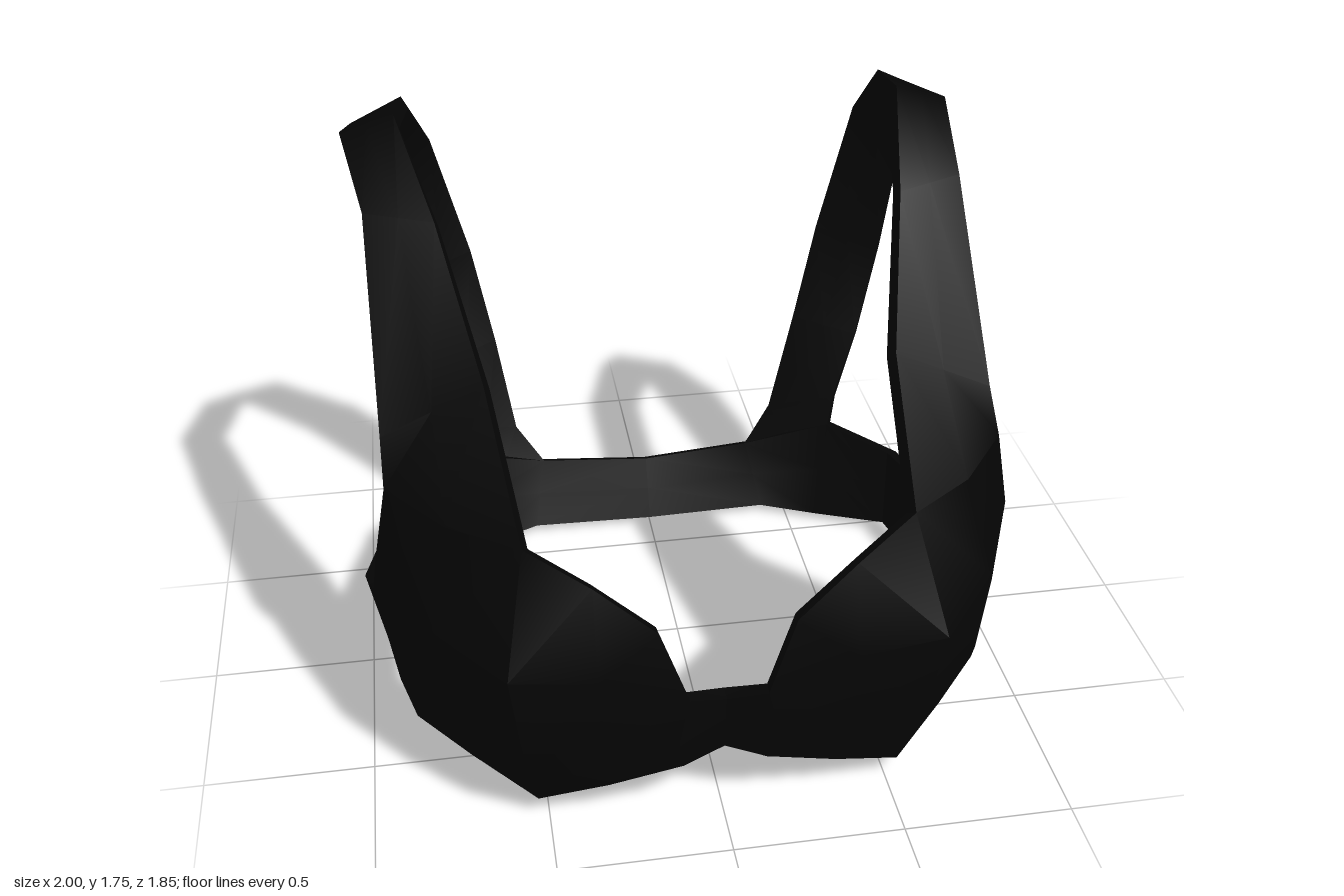
import * as THREE from 'three';
import { toCreasedNormals } from 'three/addons/utils/BufferGeometryUtils.js';

const THICKNESS = 0.045;

// Average of two points
const mid = (a, b) => a.map((v, i) => (v + b[i]) / 2);

// Sheets for one side (+x); each is a grid of points on the outer surface
function makeSheets(side) {
  // cup: rows upward, columns from armhole to centre
  const cup = [
    [[0.86, 0.14, 0.45], [0.71, 0.11, 0.61], [0.53, 0.075, 0.785], [0.33, 0.14, 0.83], [0.12, 0.21, 0.86]],
    [[0.91, 0.41, 0.42], [0.78, 0.37, 0.67], [0.57, 0.34, 0.88], [0.34, 0.33, 0.9], [0.14, 0.34, 0.905]],
    [[0.935, 0.68, 0.39], [0.79, 0.65, 0.7], [0.6, 0.63, 0.925], [0.36, 0.58, 0.905], [0.11, 0.48, 0.9]],
    [[0.89, 0.92, 0.39], [0.73, 0.92, 0.6], [0.535, 0.93, 0.75], [0.36, 0.84, 0.83], [0.19, 0.7, 0.87]],
  ];

  // bridge joining the two cups
  const bridge = [
    [cup[0][4], [0, 0.25, 0.84]],
    [cup[1][4], [0, 0.34, 0.85]],
    [cup[2][4], [0, 0.44, 0.86]],
  ];

  // band: columns from back centre round to the cup, as bottom and top points
  const columns = [
    [[0, 0.003, -0.67], [0, 0.2, -0.76]],
    [[0.42, 0.01, -0.675], [0.38, 0.22, -0.775]],
    [[0.62, 0.015, -0.585], [0.67, 0.34, -0.67]],
    [[0.86, 0.028, -0.46], [0.88, 0.28, -0.53]],
    [[0.94, 0.05, 0], [1, 0.3, -0.06]],
    [[0.91, 0.095, 0.22], [0.96, 0.46, 0.23]],
  ].map(([b, t]) => [b, mid(b, t), t]);
  columns.push([cup[0][0], cup[1][0], cup[2][0]]);
  const band = [0, 1, 2].map((r) => columns.map((c) => c[r]));

  // strap: outer edge, inner edge, sideways shift that gives a slight twist
  const stations = [
    [[0.865, 1.09, 0.39], [0.575, 1.23, 0.4], -0.02],
    [[0.855, 1.59, 0.02], [0.66, 1.58, 0.09], -0.03],
    [[0.905, 1.705, -0.3], [0.745, 1.755, -0.28], -0.035],
    [[0.92, 1.6, -0.64], [0.76, 1.67, -0.66], 0],
    [[0.89, 1.37, -0.82], [0.72, 1.47, -0.86], 0.02],
    [[0.83, 0.97, -0.84], [0.62, 1.02, -0.92], 0.03],
    [[0.755, 0.65, -0.77], [0.55, 0.69, -0.865], 0.02],
    [[0.69, 0.43, -0.7], [0.48, 0.36, -0.8], 0],
    [columns[2][2], columns[1][2], 0],
  ];
  const strap = [cup[3].slice(0, 3)];
  for (const [o, i, shift] of stations) {
    strap.push([o, mid(o, i), i].map(([x, y, z]) => [x + side * shift, y, z]));
  }
  return { cup, bridge, band, strap };
}

const key = (p) => p.map((v) => v.toFixed(4)).join();

// Calls fn with the four corners of each grid cell, outward side counter-clockwise
function eachCell(grid, fn) {
  for (let r = 0; r < grid.length - 1; r++) {
    for (let c = 0; c < grid[r].length - 1; c++) {
      fn(grid[r][c], grid[r + 1][c], grid[r + 1][c + 1], grid[r][c + 1]);
    }
  }
}

// Outward normals shared by all sheets, so the thickness joins up at the seams
function sharedNormals(sheets) {
  const normals = new Map();
  for (const grid of Object.values(sheets)) {
    eachCell(grid, (...q) => {
      const [a, b, c, d] = q.map((p) => new THREE.Vector3(...p));
      const n = c.sub(a).cross(d.sub(b));
      for (const p of q) {
        const k = key(p);
        if (!normals.has(k)) normals.set(k, new THREE.Vector3());
        normals.get(k).add(n);
      }
    });
  }
  for (const [k, n] of normals) {
    if (k.startsWith('0.0000,')) n.x = 0;
    n.normalize();
  }
  return normals;
}

// Closed shell from a sheet: outer face, inner face and rim walls
function shellGeometry(grid, normals, side) {
  const positions = [];
  const inner = (p) => {
    const n = normals.get(key(p));
    return [p[0] - n.x * THICKNESS, Math.max(0, p[1] - n.y * THICKNESS), p[2] - n.z * THICKNESS];
  };
  const quad = (a, b, c, d) => {
    const order = side > 0 ? [a, b, c, a, c, d] : [a, c, b, a, d, c];
    for (const [x, y, z] of order) positions.push(x * side, y, z);
  };
  eachCell(grid, (a, b, c, d) => {
    quad(a, b, c, d);
    quad(inner(d), inner(c), inner(b), inner(a));
  });
  const last = grid.length - 1;
  const w = grid[0].length - 1;
  const loop = [
    ...grid.map((row) => row[0]),
    ...grid[last].slice(1),
    ...grid.slice(0, last).reverse().map((row) => row[w]),
    ...grid[0].slice(1, w).reverse(),
  ];
  loop.forEach((p, i) => {
    const q = loop[(i + 1) % loop.length];
    quad(q, p, inner(p), inner(q));
  });
  const geometry = new THREE.BufferGeometry();
  geometry.setAttribute('position', new THREE.Float32BufferAttribute(positions, 3));
  return toCreasedNormals(geometry, 0.7);
}

export function createModel() {
  const model = new THREE.Group();
  model.name = 'bralette';
  const fabric = new THREE.MeshStandardMaterial({ color: 0x050505 });
  for (const side of [1, -1]) {
    const sheets = makeSheets(side);
    const normals = sharedNormals(sheets);
    for (const [part, grid] of Object.entries(sheets)) {
      const mesh = new THREE.Mesh(shellGeometry(grid, normals, side), fabric);
      mesh.name = (side > 0 ? 'left' : 'right') + part[0].toUpperCase() + part.slice(1);
      model.add(mesh);
    }
  }
  return model;
}
